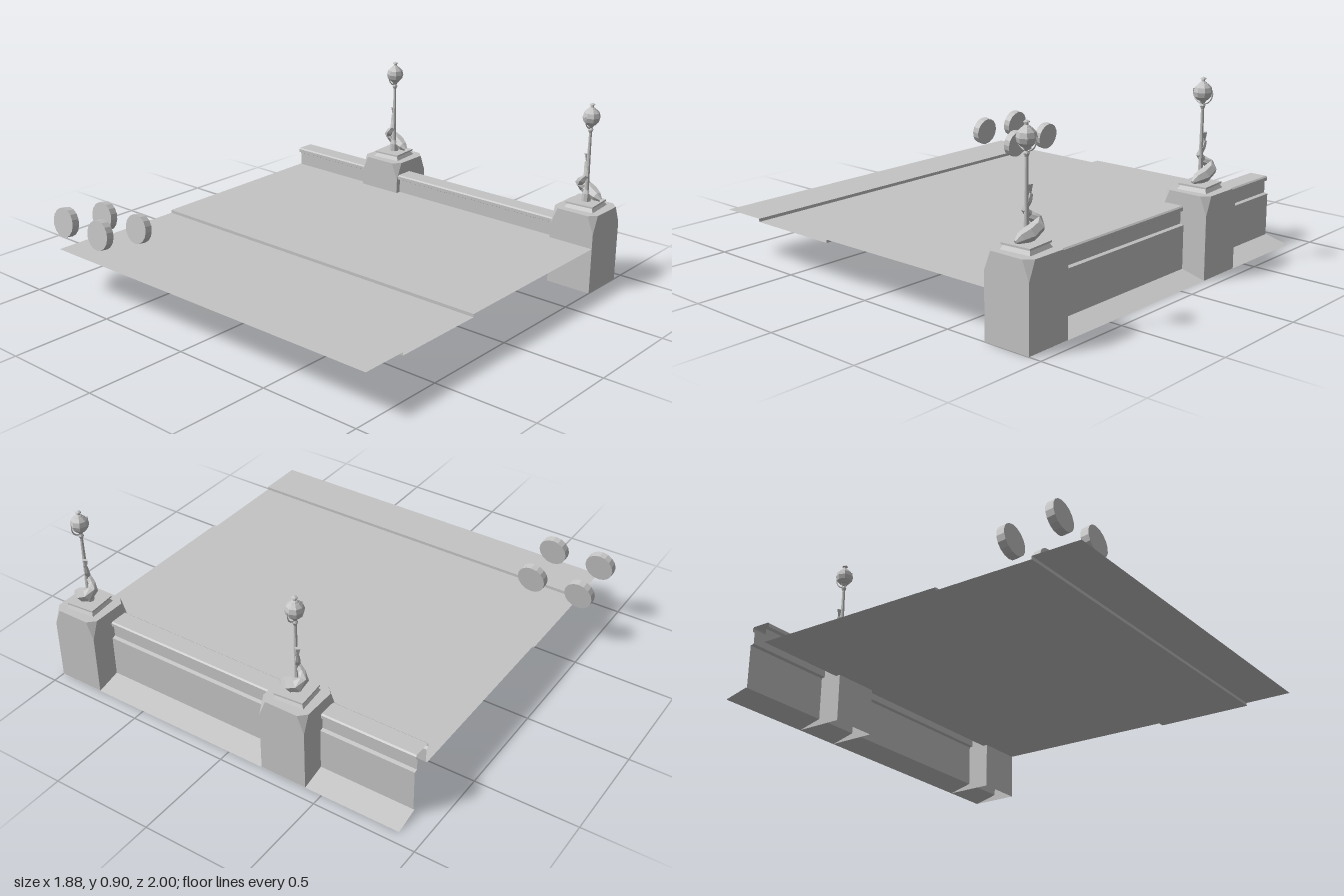
import * as THREE from 'three';

const stone = new THREE.MeshStandardMaterial({ color: 0xc4c4c4, side: THREE.DoubleSide, flatShading: true });
stone.name = 'pale grey stone';

function add(parent, name, geometry, x = 0, y = 0, z = 0) {
  const mesh = new THREE.Mesh(geometry, stone);
  mesh.name = name;
  mesh.position.set(x, y, z);
  parent.add(mesh);
  return mesh;
}

// Surface through closed or open cross-sections of equal length
function loft(rows, closed) {
  const pos = [];
  const last = rows[0].length - (closed ? 0 : 1);
  for (let i = 0; i < rows.length - 1; i++) {
    for (let j = 0; j < last; j++) {
      const k = (j + 1) % rows[0].length;
      const a = rows[i][j], b = rows[i][k], c = rows[i + 1][k], d = rows[i + 1][j];
      pos.push(...a, ...c, ...b, ...a, ...d, ...c);
    }
  }
  const g = new THREE.BufferGeometry();
  g.setAttribute('position', new THREE.Float32BufferAttribute(pos, 3));
  g.computeVertexNormals();
  return g;
}

// Open sheet: an [x, y] profile swept from the back to the front
function sheet(profile, zBack, zFront) {
  return loft([zFront, zBack].map(z => profile.map(([x, y]) => [x, y, z])), false);
}

// Pier ring: square with cut corners
function cutSquare(h, cut, y) {
  const c = h - cut;
  return [[c, h], [h, c], [h, -c], [c, -h], [-c, -h], [-h, -c], [-h, c], [-c, h]].map(([x, z]) => [x, y, z]);
}

function createPier() {
  const pier = new THREE.Group();
  pier.name = 'pier';
  const h = 0.117;
  add(pier, 'pierBody', loft([
    cutSquare(h, 0.0005, 0), cutSquare(h, 0.0005, 0.3), cutSquare(h, 0.035, 0.385), cutSquare(0.001, 0.0003, 0.385),
  ], true));

  // Slightly twisted two-step plinth
  const plinth = new THREE.CylinderGeometry(0.088, 0.105, 0.02, 4);
  plinth.rotateY(Math.PI / 4 + 0.08);
  add(pier, 'plinth', plinth, 0, 0.395, 0);
  const slab = new THREE.BoxGeometry(0.142, 0.008, 0.142);
  slab.rotateY(0.08);
  add(pier, 'plinthSlab', slab, 0, 0.409, 0);

  pier.add(createLamp());
  return pier;
}

function createLamp() {
  const lamp = new THREE.Group();
  lamp.name = 'lamp';

  // Post with foot, collar and cup
  const post = [[0.024, 0.41], [0.02, 0.45], [0.011, 0.47], [0.009, 0.6], [0.007, 0.75], [0.013, 0.765], [0.008, 0.775], [0.018, 0.792]];
  add(lamp, 'post', new THREE.LatheGeometry(post.map(p => new THREE.Vector2(...p)), 8));

  // Globe with cap and finial
  add(lamp, 'globe', new THREE.SphereGeometry(0.043, 8, 6), 0, 0.828, 0);
  const top = [[0.022, 0.863], [0.014, 0.872], [0.008, 0.876], [0.008, 0.884], [0.014, 0.886], [0.012, 0.89], [0, 0.896]];
  add(lamp, 'finial', new THREE.LatheGeometry(top.map(p => new THREE.Vector2(...p)), 8));

  // Curved bracket under the globe
  const arm = new THREE.TorusGeometry(0.051, 0.0035, 4, 12, Math.PI * 1.15);
  arm.rotateZ(Math.PI * 0.925);
  add(lamp, 'bracket', arm, 0, 0.825, 0);

  // Carved fish coiled around the post: [x, y, z, radius]
  const spine = [
    [0.01, 0.428, 0.075, 0.008], [0.015, 0.44, 0.05, 0.024], [0.028, 0.452, 0.01, 0.033],
    [0.032, 0.472, -0.03, 0.031], [0.012, 0.495, -0.045, 0.024], [-0.006, 0.515, -0.022, 0.018],
    [-0.01, 0.54, 0, 0.014], [0.004, 0.575, -0.01, 0.013], [0.01, 0.605, -0.015, 0.009],
  ];
  const points = spine.map(p => new THREE.Vector3(p[0], p[1], p[2]));
  const curve = new THREE.CatmullRomCurve3(points);
  const rows = points.map((p, i) => {
    const t = curve.getTangent(i / (points.length - 1));
    const u = new THREE.Vector3(1, 0, 0).addScaledVector(t, -t.x).normalize();
    const v = new THREE.Vector3().crossVectors(t, u);
    return Array.from({ length: 6 }, (_, j) => {
      const a = j * Math.PI / 3;
      return p.clone().addScaledVector(u, Math.cos(a) * spine[i][3]).addScaledVector(v, Math.sin(a) * spine[i][3]).toArray();
    });
  });
  add(lamp, 'fishBody', loft(rows, true));

  // Tail fin
  const tail = new THREE.ConeGeometry(0.016, 0.055, 4);
  tail.rotateX(Math.PI);
  tail.scale(0.7, 1, 1);
  add(lamp, 'fishTail', tail, 0.008, 0.615, -0.014);
  return lamp;
}

export function createModel() {
  const model = new THREE.Group();
  model.name = 'promenade';

  // Road, sunk between a far kerb and the pavement
  add(model, 'farPavement', sheet([[-0.945, 0.222], [-0.715, 0.222], [-0.715, 0.207]], -0.89, 1));
  add(model, 'road', sheet([[-0.715, 0.207], [-0.24, 0.207]], -0.89, 1));
  add(model, 'pavement', sheet([[-0.24, 0.207], [-0.24, 0.222], [0.73, 0.228]], -0.89, 1));

  // Parapet with overhanging coping, and sloping foot outside
  add(model, 'parapet', sheet([
    [0.73, 0.228], [0.73, 0.295], [0.715, 0.302], [0.715, 0.318], [0.722, 0.324], [0.808, 0.324],
    [0.815, 0.318], [0.815, 0.302], [0.802, 0.295], [0.802, 0.24], [0.82, 0.236], [0.82, 0.03],
  ], -0.885, 1));
  add(model, 'outerFoot', sheet([[0.82, 0.03], [0.94, 0]], -0.89, 1));

  // Two lamp piers
  for (const z of [0.883, -0.297]) {
    const pier = createPier();
    pier.position.set(0.822, 0, z);
    model.add(pier);
  }

  // Four leaning discs near the back corner
  for (const [x, y] of [[-0.87, 0.328], [-0.64, 0.293]]) {
    for (const z of [-0.925, -0.673]) {
      const disc = new THREE.CylinderGeometry(0.072, 0.072, 0.038, 16);
      disc.rotateZ(Math.PI / 2 - 0.12);
      add(model, 'wheel', disc, x, y, z);
    }
  }
  return model;
}
